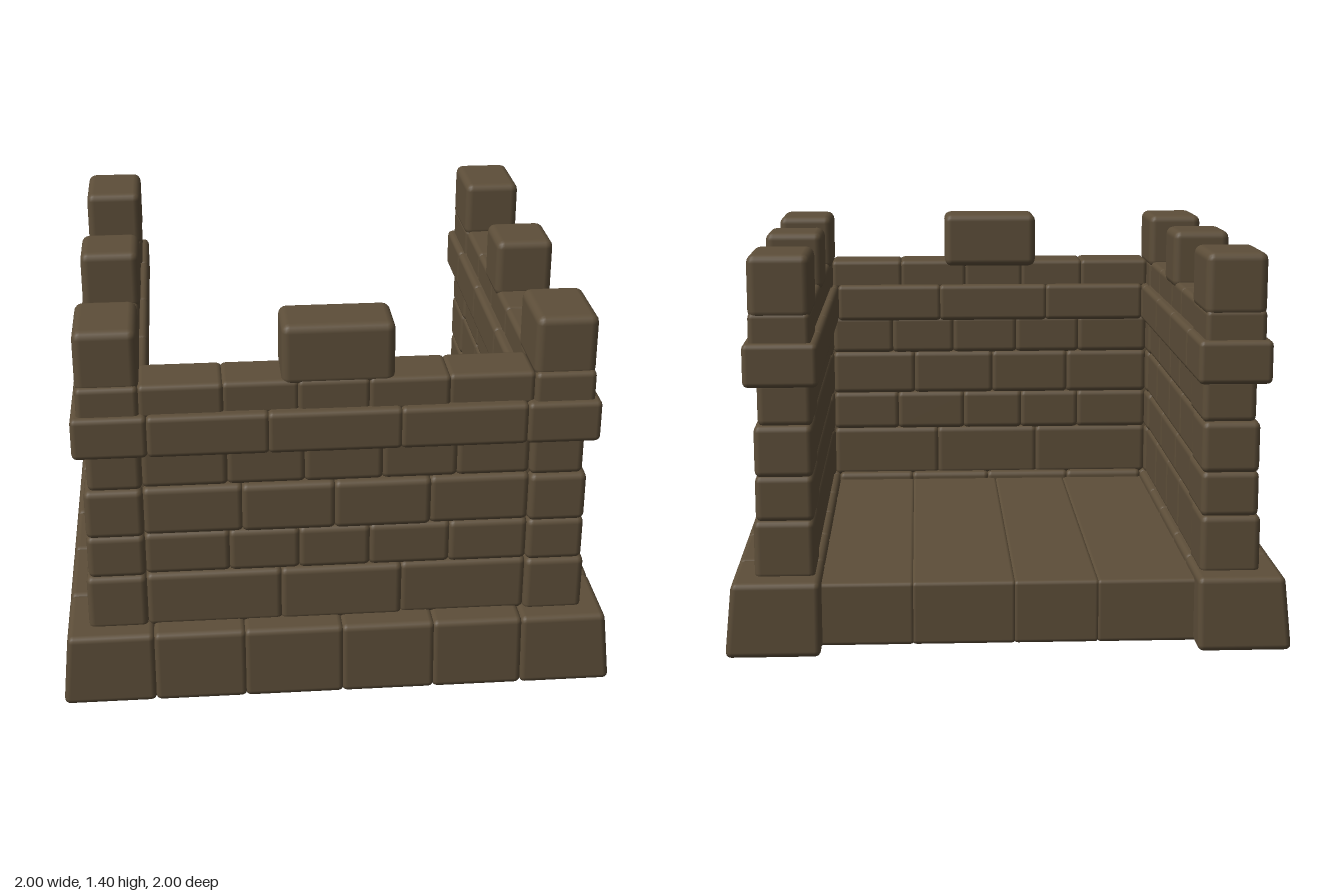
import * as THREE from 'three';
import { RoundedBoxGeometry } from 'three/addons/geometries/RoundedBoxGeometry.js';

const stoneMat = new THREE.MeshStandardMaterial({ color: 0x5d4e39 });
stoneMat.name = 'brown stone';

let seed = 7;
const jitter = (a) => {
  seed = (seed * 16807) % 2147483647;
  return (seed / 2147483647 - 0.5) * 2 * a;
};

// One worn block between two corners; slope pulls its outer faces inwards with height
function block(parent, name, [x0, x1], [y0, y1], [z0, z1], radius = 0.022, slope = 0) {
  const w = x1 - x0, h = y1 - y0, d = z1 - z0;
  const geo = new RoundedBoxGeometry(w, h, d, 2, radius);
  geo.translate((x0 + x1) / 2, (y0 + y1) / 2, (z0 + z1) / 2);
  if (slope) {
    const p = geo.attributes.position;
    for (let i = 0; i < p.count; i++) {
      const x = p.getX(i), z = p.getZ(i), pull = slope * (p.getY(i) - y0) / h;
      if (Math.abs(x) > 0.85) p.setX(i, x - Math.sign(x) * pull);
      if (Math.abs(z) > 0.85) p.setZ(i, z - Math.sign(z) * pull);
    }
  }
  const mesh = new THREE.Mesh(geo, stoneMat);
  mesh.name = name;
  parent.add(mesh);
}

// Evenly cut a span into n slightly overlapping pieces with uneven joints
function cut(a, b, n) {
  const at = [];
  for (let i = 0; i <= n; i++) at.push(a + (b - a) * i / n + (i > 0 && i < n ? jitter(0.03) : 0));
  return at.slice(1).map((end, i) => [at[i] - 0.004, end + 0.004]);
}

// A U-shaped course, open at the back: corner stones, side runs and a front run
function course(root, name, o) {
  const g = new THREE.Group();
  g.name = name;
  const { y, inner, outer, back, corner, side, front, inset = 0, wobble = 0, radius, slope } = o;
  for (const s of [-1, 1]) {
    const xr = (a, b) => (s > 0 ? [a, b] : [-b, -a]);
    block(g, 'cornerStone', xr(inner, outer), y, [outer - corner, outer], radius, slope);
    block(g, 'endStone', xr(inner, outer), y, [back, back + corner], radius, slope);
    for (const z of cut(back + corner, outer - corner, side)) {
      block(g, 'sideStone', xr(inner + inset / 2, outer - inset + jitter(wobble)), y, z, radius, slope);
    }
  }
  for (const x of cut(-inner, inner, front)) {
    block(g, 'frontStone', x, y, [inner + inset / 2, outer - inset + jitter(wobble)], radius, slope);
  }
  root.add(g);
}

export function createModel() {
  seed = 7;
  const root = new THREE.Group();
  root.name = 'battlementedFort';

  // Sloped plinth
  course(root, 'plinth', { y: [0, 0.265], inner: 0.665, outer: 1, back: -1, corner: 0.33,
    side: 4, front: 4, radius: 0.022, slope: 0.024 });

  // Floor slabs
  const floor = new THREE.Group();
  floor.name = 'floor';
  for (const x of cut(-0.68, 0.68, 4)) block(floor, 'floorSlab', x, [0.003, 0.235], [-0.885, 0.69], 0.015);
  root.add(floor);

  // Solid heart of the walls, hidden behind the stones
  for (const s of [-1, 1]) {
    block(root, 'wallCore', s > 0 ? [0.715, 0.85] : [-0.85, -0.715], [0.1, 1.17], [-0.83, 0.84]);
  }
  block(root, 'wallCore', [-0.8, 0.8], [0.1, 1.17], [0.715, 0.84]);

  // Wall courses, stepping in a little with height
  [[0.25, 0.465, 0.9, 0.24, 4, 3], [0.458, 0.625, 0.892, 0.31, 3, 5],
    [0.618, 0.805, 0.892, 0.25, 4, 4], [0.798, 0.96, 0.878, 0.29, 4, 5]]
    .forEach(([y0, y1, outer, corner, side, front], i) => course(root, 'wallCourse' + (i + 1), {
      y: [y0, y1], inner: 0.685, outer, back: -outer + 0.015, corner, side, front,
      inset: 0.012, wobble: 0.005, radius: 0.024 }));

  // Projecting string course
  course(root, 'stringCourse', { y: [0.945, 1.1], inner: 0.66, outer: 0.922, back: -0.915,
    corner: 0.3, side: 3, front: 3, radius: 0.02 });

  // Parapet
  course(root, 'parapet', { y: [1.08, 1.205], inner: 0.685, outer: 0.9, back: -0.895,
    corner: 0.3, side: 4, front: 5, inset: 0.012, wobble: 0.004, radius: 0.02 });

  // Merlons
  const merlons = new THREE.Group();
  merlons.name = 'merlons';
  const top = [1.18, 1.405];
  for (const s of [-1, 1]) {
    const x = s > 0 ? [0.682, 0.9] : [-0.9, -0.682];
    for (const z of [[0.585, 0.885], [-0.12, 0.12], [-0.895, -0.59]]) block(merlons, 'sideMerlon', x, top, z, 0.03);
  }
  block(merlons, 'frontMerlon', [-0.195, 0.197], top, [0.668, 0.885], 0.03);
  root.add(merlons);

  return root;
}
